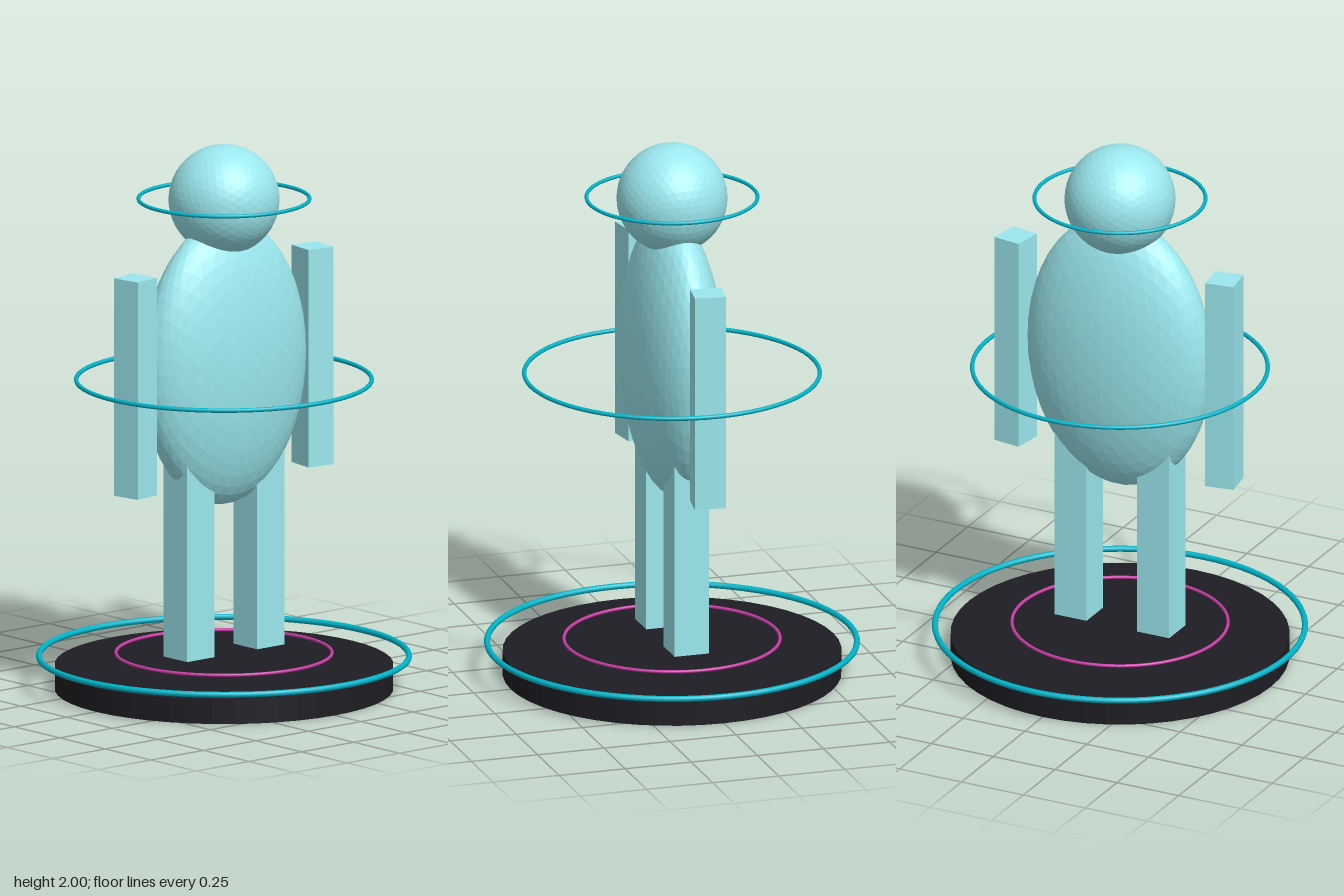
import * as THREE from 'three';

const skin = new THREE.MeshStandardMaterial({ color: 0x9be8ee, flatShading: true });
const dark = new THREE.MeshStandardMaterial({ color: 0x1e1d23, flatShading: true });
const teal = new THREE.MeshStandardMaterial({ color: 0x00b4c8 });
const magenta = new THREE.MeshStandardMaterial({ color: 0xc83ca5 });

export function createModel() {
  const group = new THREE.Group();

  const add = (name, geometry, material, x, y, z = 0) => {
    const mesh = new THREE.Mesh(geometry, material);
    mesh.name = name;
    mesh.position.set(x, y, z);
    group.add(mesh);
    return mesh;
  };

  // Horizontal ring given by its outer radius
  const ring = (name, outer, tube, y, material) =>
    add(name, new THREE.TorusGeometry(outer - tube, tube, 10, 80).rotateX(Math.PI / 2), material, 0, y);

  // Round base
  add('base', new THREE.CylinderGeometry(0.61, 0.61, 0.09, 48), dark, 0, 0.045);

  // Flattened egg-shaped torso and ball head
  add('torso', new THREE.IcosahedronGeometry(1, 7).scale(0.365, 0.525, 0.163), skin, 0, 1.205);
  add('head', new THREE.IcosahedronGeometry(0.2, 7), skin, 0, 1.8);

  // Box limbs, arms turned slightly about their own axis
  for (const [side, s] of [['left', 1], ['right', -1]]) {
    const arm = add(side + 'Arm', new THREE.BoxGeometry(0.107, 0.8, 0.114), skin, s * 0.422, 1.17);
    arm.rotation.y = -s * 0.15;
    add(side + 'Leg', new THREE.BoxGeometry(0.13, 0.8, 0.13), skin, s * 0.167, 0.54);
  }

  // Floating rings
  ring('headRing', 0.315, 0.007, 1.803, teal);
  ring('waistRing', 0.54, 0.008, 1.137, teal);
  ring('baseRing', 0.677, 0.011, 0.12, teal);
  ring('floorRing', 0.395, 0.006, 0.132, magenta);

  return group;
}
